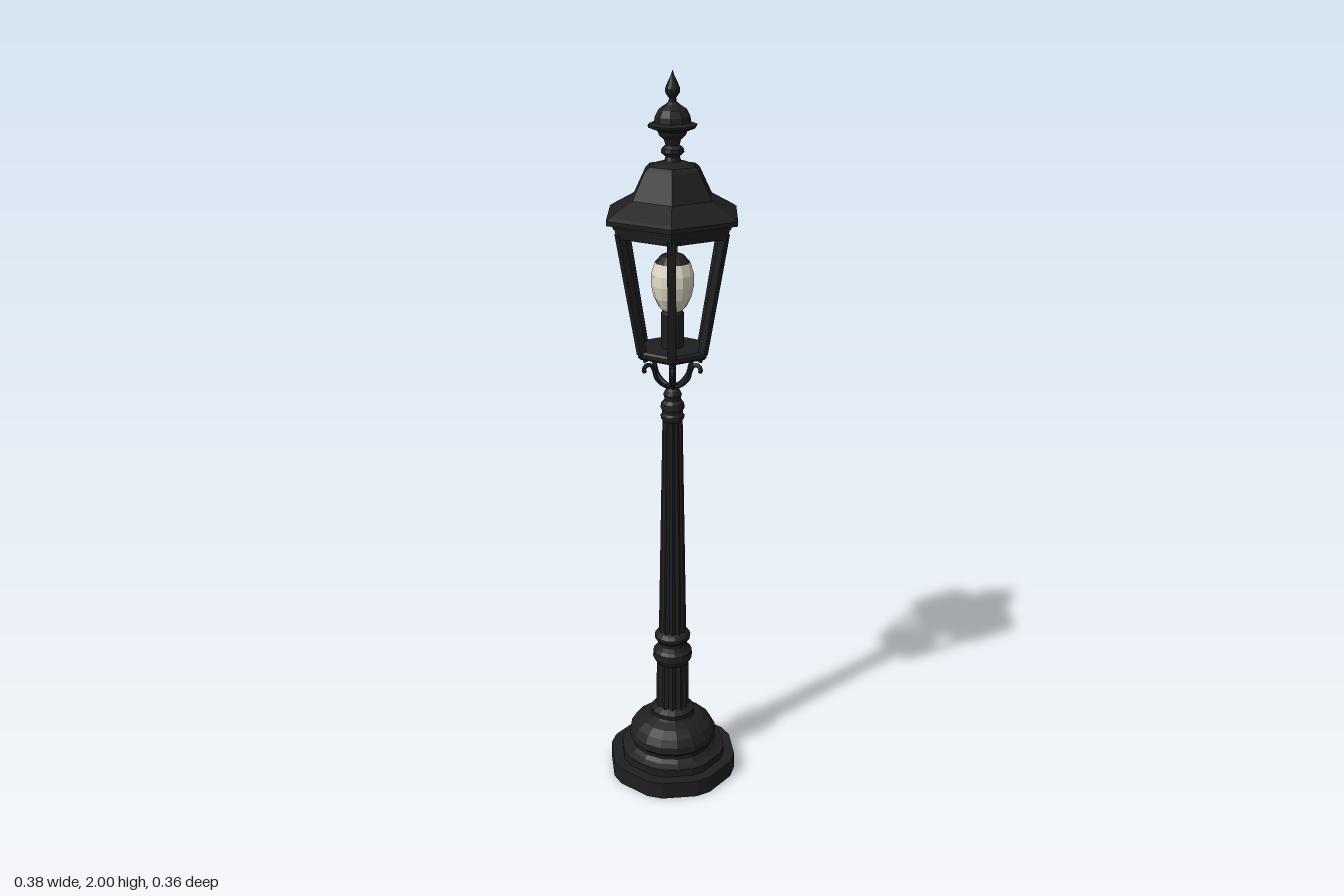
import * as THREE from 'three';

export function createModel() {
  const lamp = new THREE.Group();
  lamp.name = 'streetLamp';
  const iron = new THREE.MeshStandardMaterial({ name: 'blackIron', color: 0x1f1f1f, flatShading: true });
  const cream = new THREE.MeshStandardMaterial({ name: 'creamBulb', color: 0xe0dbc8, flatShading: true });

  const add = (name, geometry, material = iron) => {
    const mesh = new THREE.Mesh(geometry, material);
    mesh.name = name;
    lamp.add(mesh);
    return mesh;
  };
  // Turned part from [radius, height] pairs, listed from bottom to top
  const turned = (name, points, sides = 16, phase = 0, material = iron) =>
    add(name, new THREE.LatheGeometry(points.map(p => new THREE.Vector2(...p)), sides, phase), material);
  // Six-sided part with corners on the x axis
  const hex = (name, points) => turned(name, points, 6, Math.PI / 6);

  // Octagonal plinth with clipped corners
  const plinth = (name, size, y, height) => {
    const points = [];
    for (let k = 0; k < 8; k++) {
      for (const side of [-1, 1]) {
        const a = k * Math.PI / 4 + side * 0.12;
        points.push(new THREE.Vector2(Math.cos(a) * size, Math.sin(a) * size));
      }
    }
    const g = new THREE.ExtrudeGeometry(new THREE.Shape(points), { depth: height, bevelEnabled: false });
    add(name, g.rotateX(-Math.PI / 2).translate(0, y, 0));
  };
  plinth('plinth', 0.183, 0, 0.05);
  plinth('plinthStep', 0.151, 0.05, 0.022);

  // Domed foot
  turned('foot', [[0.148, 0.07], [0.128, 0.078], [0.117, 0.088], [0.117, 0.098], [0.126, 0.108],
    [0.124, 0.128], [0.112, 0.148], [0.09, 0.165], [0.064, 0.175], [0.06, 0.182], [0.062, 0.195],
    [0.05, 0.203], [0.042, 0.208]]);

  // Fluted column: every other edge is pulled inwards
  const fluted = (name, rBottom, rTop, y0, y1) => {
    const g = new THREE.CylinderGeometry(rTop, rBottom, y1 - y0, 24, 1, true);
    const p = g.attributes.position;
    for (let i = 0; i < p.count; i++) {
      if (i % 25 % 2) p.setXYZ(i, p.getX(i) * 0.86, p.getY(i), p.getZ(i) * 0.86);
    }
    add(name, g.translate(0, (y0 + y1) / 2, 0));
  };
  fluted('lowerColumn', 0.047, 0.045, 0.2, 0.36);
  fluted('upperColumn', 0.039, 0.027, 0.44, 1.095);

  // Collars between and above the columns
  turned('middleCollar', [[0.042, 0.345], [0.051, 0.355], [0.056, 0.367], [0.055, 0.385], [0.047, 0.393],
    [0.041, 0.405], [0.041, 0.415], [0.05, 0.425], [0.051, 0.435], [0.043, 0.445], [0.034, 0.45]]);
  turned('topCollar', [[0.026, 1.085], [0.031, 1.092], [0.032, 1.102], [0.028, 1.108], [0.028, 1.115],
    [0.032, 1.122], [0.031, 1.136], [0.022, 1.146], [0.022, 1.152], [0.025, 1.16], [0.02, 1.172],
    [0.012, 1.18], [0.009, 1.2], [0.009, 1.28]], 12);

  // Scroll brackets, one under each lantern corner
  const curve = new THREE.CatmullRomCurve3([[0.008, 1.18], [0.03, 1.192], [0.048, 1.212], [0.055, 1.235],
    [0.064, 1.251], [0.078, 1.253], [0.086, 1.243], [0.083, 1.235]].map(([x, y]) => new THREE.Vector3(x, y, 0)));
  const scroll = new THREE.TubeGeometry(curve, 18, 0.0058, 6);
  for (let i = 0; i < 6; i++) add('scrollBracket', scroll).rotation.y = i * Math.PI / 3;

  // Lantern floor and upper frame
  hex('lanternFloor', [[0, 1.272], [0.096, 1.272], [0.102, 1.278], [0.102, 1.288], [0.096, 1.294], [0, 1.294]]);
  hex('lanternFrame', [[0.138, 1.625], [0.138, 1.598], [0.16, 1.598], [0.166, 1.625], [0.138, 1.625]]);

  // Slanted corner posts
  const foot = new THREE.Vector3(0.091, 1.285, 0);
  const direction = new THREE.Vector3(0.151, 1.61, 0).sub(foot);
  const postGeometry = new THREE.BoxGeometry(0.019, direction.length(), 0.022)
    .rotateZ(-Math.atan2(direction.x, direction.y))
    .translate(foot.x + direction.x / 2, foot.y + direction.y / 2, 0);
  for (let i = 0; i < 6; i++) add('cornerPost', postGeometry).rotation.y = i * Math.PI / 3;

  // Socket and bulb
  turned('socket', [[0.03, 1.29], [0.03, 1.385], [0.026, 1.392], [0, 1.392]], 12);
  turned('bulb', [[0.022, 1.39], [0.036, 1.402], [0.049, 1.428], [0.056, 1.462], [0.055, 1.49], [0.046, 1.52]],
    12, 0, cream);
  turned('bulbCap', [[0.046, 1.52], [0.031, 1.537], [0.012, 1.545], [0, 1.546]], 12);

  // Hexagonal roof
  hex('roof', [[0, 1.622], [0.168, 1.622], [0.172, 1.632], [0.188, 1.634], [0.189, 1.646], [0.178, 1.653],
    [0.122, 1.684], [0.115, 1.688], [0.079, 1.757], [0.066, 1.768], [0, 1.77]]);

  // Finial
  turned('finial', [[0.06, 1.766], [0.045, 1.773], [0.022, 1.779], [0.018, 1.79], [0.03, 1.8], [0.028, 1.81],
    [0.018, 1.818], [0.022, 1.832], [0.034, 1.842], [0.038, 1.853], [0.061, 1.862], [0.063, 1.868],
    [0.047, 1.874], [0.045, 1.888], [0.036, 1.905], [0.018, 1.917], [0.01, 1.924], [0.009, 1.932],
    [0.018, 1.945], [0.019, 1.955], [0.012, 1.972], [0.005, 1.985], [0, 2]], 10);

  return lamp;
}
